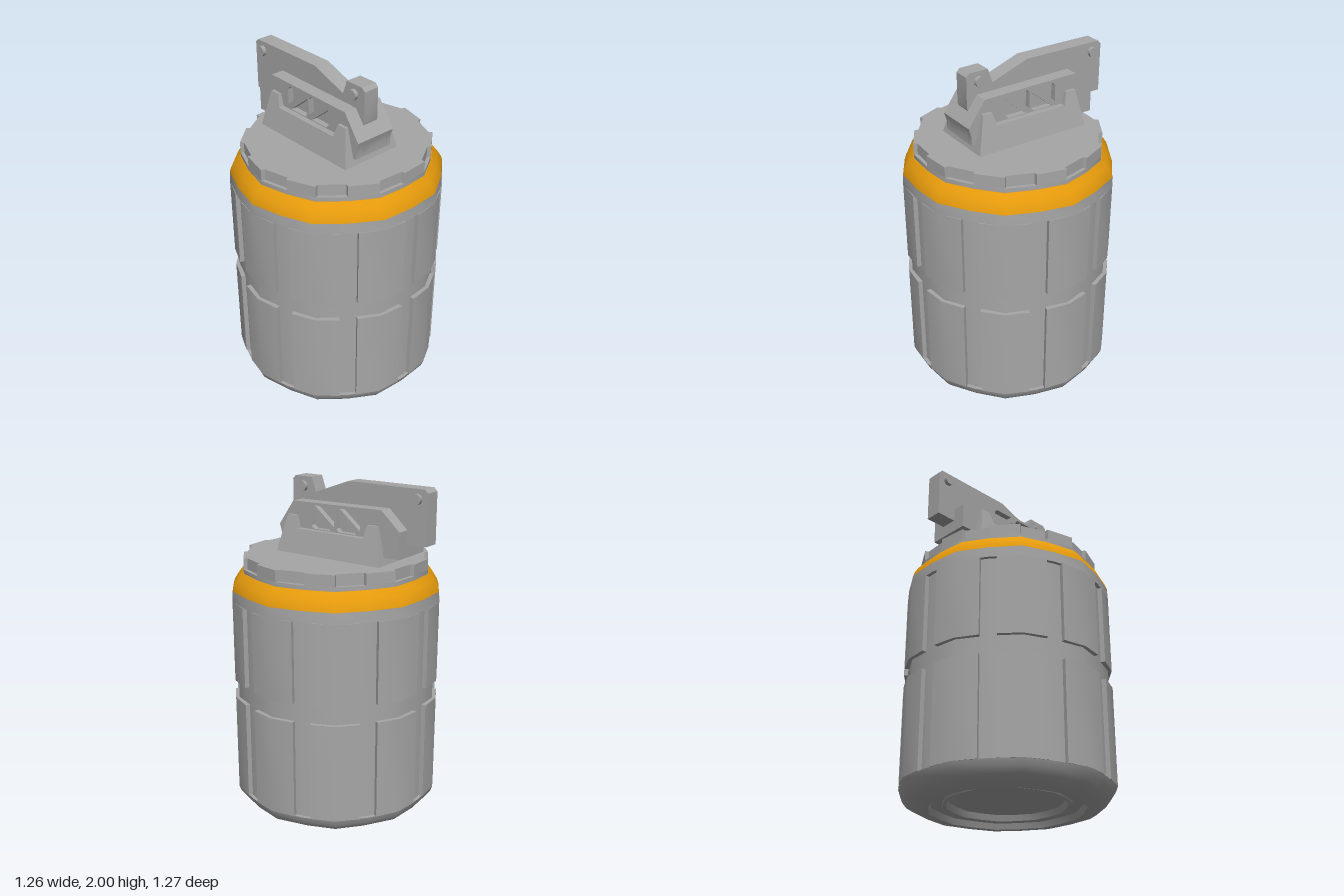
import * as THREE from 'three';
import { toCreasedNormals } from 'three/addons/utils/BufferGeometryUtils.js';

const RAD = Math.PI / 180;
const CX = 0.01;      // body axis
const HZ = 0.02;      // handle centre plane
const FLAT = 0.975;   // radius factor at the groove centres
const v2 = (x, y) => new THREE.Vector2(x, y);
const polar = (r, deg) => v2(r * Math.cos(deg * RAD), r * Math.sin(deg * RAD));
const toShape = (pts) => new THREE.Shape(pts.map((p) => (p.isVector2 ? p : v2(p[0], p[1]))));

export function createModel() {
  const group = new THREE.Group();
  const grey = new THREE.MeshStandardMaterial({ color: 0xa6a6a6 });
  grey.name = 'grey metal';
  const orange = new THREE.MeshStandardMaterial({ color: 0xe59a0c });
  orange.name = 'orange band';

  const add = (name, geometry, material = grey, parent = group) => {
    const mesh = new THREE.Mesh(toCreasedNormals(geometry, 40 * RAD), material);
    mesh.name = name;
    parent.add(mesh);
    return mesh;
  };

  // Twenty-sided turned form whose alternate corners are pulled in
  const turned = (profile) => {
    const g = new THREE.LatheGeometry(profile.map((p) => v2(...p)), 20);
    const pos = g.attributes.position;
    for (let i = 0; i < pos.count; i++) {
      const k = Math.floor(i / profile.length) % 2 ? FLAT : 1;
      pos.setXYZ(i, pos.getX(i) * k, pos.getY(i), pos.getZ(i) * k);
    }
    return g.translate(CX, 0, 0);
  };

  // Plan outline raised from y0 to y1
  const raised = (pts, y0, y1) =>
    new THREE.ExtrudeGeometry(toShape(pts), { depth: y1 - y0, bevelEnabled: false })
      .rotateX(-Math.PI / 2).translate(CX, y0, 0);

  // Side outline extruded across z, centred on z
  const plate = (shape, depth, z = HZ) =>
    new THREE.ExtrudeGeometry(shape, { depth, bevelEnabled: false, curveSegments: 8 })
      .translate(0, 0, z - depth / 2);

  // Body core with recessed underside
  add('bodyCore', turned([
    [0, 0.06], [0.34, 0.06], [0.355, 0.025], [0.375, 0.025], [0.38, 0.035], [0.445, 0.035],
    [0.46, 0], [0.5, 0], [0.55, 0.012], [0.595, 0.04], [0.622, 0.075], [0.635, 0.11],
    [0.613, 0.11], [0.613, 1.31], [0.635, 1.31], [0.632, 1.375],
  ]));

  // Armour panels between the vertical grooves, in two rows
  const panels = new THREE.Group();
  panels.name = 'bodyPanels';
  group.add(panels);
  const edge = 0.623;
  for (let k = 0; k < 10; k++) {
    const a = 36 * k;
    const sector = [
      polar(edge, a + 4.7), polar(0.635, a + 18), polar(edge, a + 31.3),
      polar(edge - 0.05, a + 31.3), polar(0.585, a + 18), polar(edge - 0.05, a + 4.7),
    ];
    add('lowerPanel', raised(sector, 0.11, 0.71), grey, panels);
    add('upperPanel', raised(sector, 0.82, 1.31), grey, panels);
  }

  // Coloured shoulder
  add('shoulderBand', turned([
    [0.632, 1.375], [0.622, 1.405], [0.6, 1.44], [0.567, 1.475], [0.3, 1.475],
  ]), orange);

  // Lid with every other rim face notched
  const rim = [], notched = [];
  for (let k = 0; k < 10; k++) {
    const a = 36 * k, r = 0.562, s = 0.96;
    rim.push(polar(r * FLAT, a), polar(r, a + 18));
    notched.push(polar(r * FLAT, a), polar(r, a + 18),
      polar(r * s, a + 18.6), polar(r * FLAT * s, a + 35.4));
  }
  add('lidBase', raised(rim, 1.47, 1.5));
  add('lidNotchedRim', raised(notched, 1.5, 1.567));

  // Tapered mount with raised ends
  const mount = plate(toShape([
    [-0.415, 1.565], [0.32, 1.565], [0.265, 1.785], [0.205, 1.785], [0.185, 1.71],
    [-0.285, 1.71], [-0.305, 1.785], [-0.37, 1.785],
  ]), 0.4, 0);
  const mp = mount.attributes.position;
  for (let i = 0; i < mp.count; i++) {
    mp.setZ(i, HZ + mp.getZ(i) * (1 - 0.24 * (mp.getY(i) - 1.565) / 0.22));
  }
  add('handleMount', mount);

  // Handle block: solid middle and two cheeks with triangular windows
  const block = () => toShape([
    [-0.505, 1.61], [0.33, 1.61], [0.33, 1.66], [0.347, 1.715], [0.24, 1.865],
    [-0.385, 1.875], [-0.505, 1.765],
  ]);
  add('handleBlock', plate(block(), 0.19));
  const cheek = block();
  for (const x of [-0.24, -0.06]) {
    const w = 0.165, y0 = 1.715, y1 = 1.853, c = 0.018, d = 0.024;
    cheek.holes.push(
      new THREE.Path([v2(x, y0 + d), v2(x + w - d, y1), v2(x + c, y1), v2(x, y1 - c)]),
      new THREE.Path([v2(x + d, y0), v2(x + w - c, y0), v2(x + w, y0 + c), v2(x + w, y1 - d)]),
    );
  }
  for (const side of [-1, 1]) {
    add(side > 0 ? 'frontCheek' : 'backCheek', plate(cheek, 0.037, HZ + side * 0.1135));
  }

  // Lever plate
  add('lever', plate(toShape([
    [-0.63, 1.685], [-0.3, 1.685], [0.29, 1.75], [0.305, 1.8], [0.305, 1.98], [0.285, 2],
    [0.165, 2], [0.135, 1.915], [-0.1, 2], [-0.61, 2], [-0.63, 1.98],
  ]), 0.1));

  // Pivot pins
  for (const x of [-0.565, 0.225]) {
    add('pivotPin', new THREE.CylinderGeometry(0.031, 0.031, 0.145, 12)
      .rotateX(Math.PI / 2).translate(x, 1.943, HZ));
  }
  return group;
}
